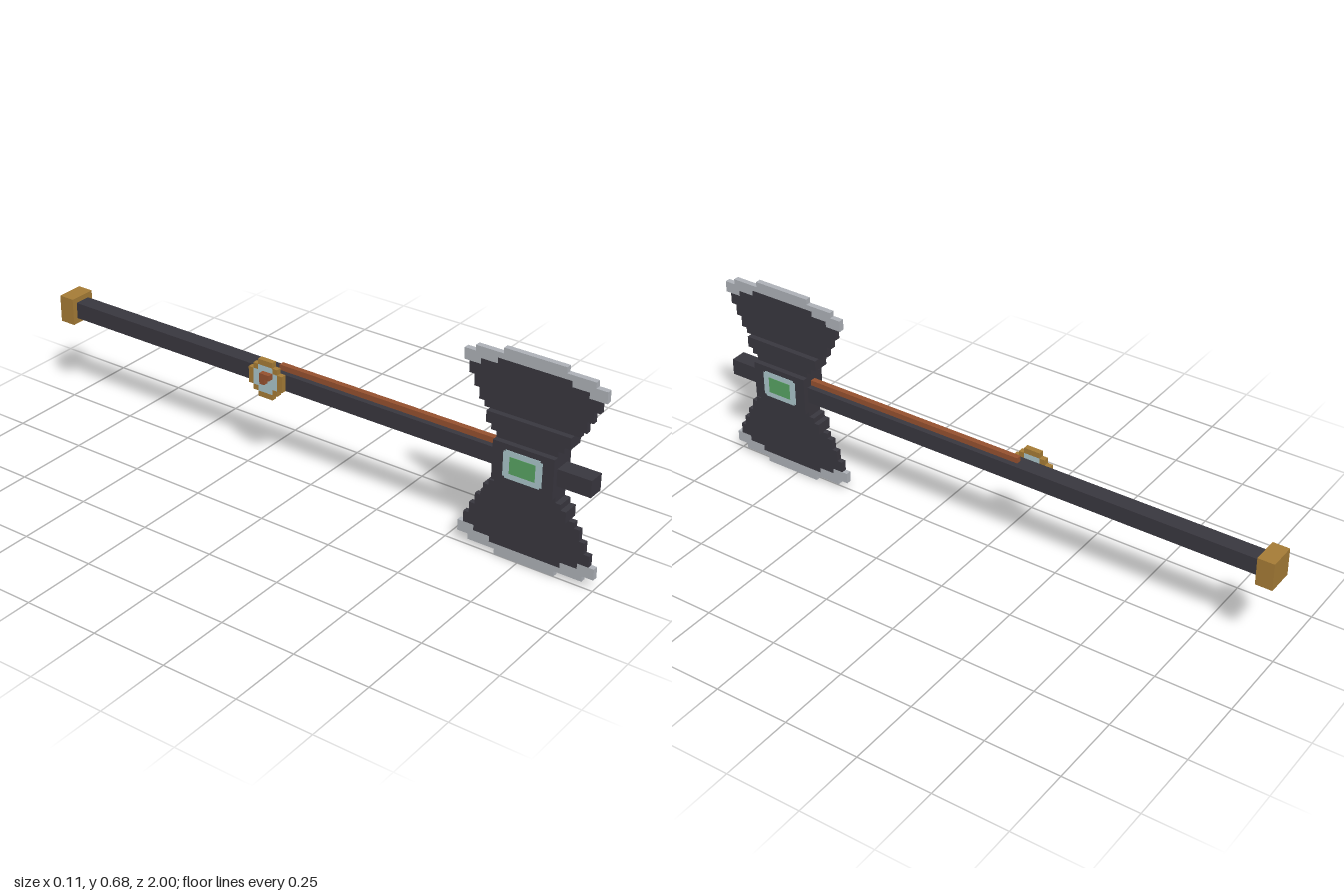
import * as THREE from 'three';

const U = 2 / 109; // one block
const mat = (name, color) => {
  const m = new THREE.MeshStandardMaterial({ color });
  m.name = name;
  return m;
};

export function createModel() {
  const model = new THREE.Group();
  model.name = 'doubleAxe';
  const iron = mat('dark iron', 0x39373f);
  const steel = mat('steel', 0xaeb2b8);
  const gold = mat('gold', 0xa67c36);
  const rust = mat('rust', 0x96512f);
  const pale = mat('pale blue', 0xabc6cb);
  const green = mat('green', 0x58a463);

  // Box from block ranges: x, y, and k (blocks counted back from the front end)
  function box(name, material, x0, x1, y0, y1, k0, k1, parent = model) {
    const g = new THREE.BoxGeometry((x1 - x0) * U, (y1 - y0) * U, (k1 - k0) * U);
    const m = new THREE.Mesh(g, material);
    m.position.set((x0 + x1) / 2 * U, (y0 + y1) / 2 * U, 1 - (k0 + k1) / 2 * U);
    m.name = name;
    parent.add(m);
  }
  // Same box above and mirrored below the shaft
  function pair(name, material, x0, x1, y0, y1, k0, k1) {
    box(name + 'Upper', material, x0, x1, y0, y1, k0, k1);
    box(name + 'Lower', material, x0, x1, 37 - y1, 37 - y0, k0, k1);
  }

  // Handle
  box('shaft', iron, -1, 2, 17, 20, 1, 107);
  box('pommel', gold, -2, 3, 16, 21, 106, 109);
  box('shaftStrip', rust, 0, 1, 20, 21, 18, 61);

  // Head block and stepped collars
  box('headBlock', iron, -2, 3, 15, 22, 7, 18);
  [[22, 23, 7], [23, 24, 6], [24, 26, 5]].forEach(([y0, y1, k]) =>
    pair('collar', iron, -1, 2, y0, y1, k, 25 - k));

  // Flaring blades: bottom, top, inset from each blade corner
  [[26, 27, 4], [27, 29, 3], [29, 31, 2], [31, 33, 1], [33, 34, 3], [34, 35, 6]]
    .forEach(([y0, y1, k]) => pair('blade', iron, 0, 1, y0, y1, k, 25 - k));

  // Cutting edges
  pair('edgeTip', steel, 0, 1, 36, 37, 7, 18);
  pair('edgeBand', steel, 0, 1, 35, 36, 2, 23);
  [[33, 34, 0, 3], [34, 35, 0, 6]].forEach(([y0, y1, a, b]) => {
    pair('edgeFront', steel, 0, 1, y0, y1, a, b);
    pair('edgeBack', steel, 0, 1, y0, y1, 25 - b, 25 - a);
  });

  // Gem inlays on both sides of the head
  for (const [side, x, d] of [['left', 3, 1], ['right', -2, -1]]) {
    const plate = (name, m, t, y0, y1, k0, k1) =>
      box(side + name, m, Math.min(x, x + d * t), Math.max(x, x + d * t), y0, y1, k0, k1);
    plate('GemFrame', pale, 0.08, 16.3, 20.7, 9, 16);
    plate('GemFrameTop', pale, 0.08, 20.7, 21, 9.4, 15.6);
    plate('GemFrameBottom', pale, 0.08, 16, 16.3, 9.4, 15.6);
    plate('Gem', green, 0.16, 17, 20, 10.2, 14.8);
  }

  // Round medallion on the right side of the shaft
  const medallion = new THREE.Group();
  medallion.name = 'medallion';
  model.add(medallion);
  const disc = (name, m, y0, y1, k0, k1) => box(name, m, -2, -1, y0, y1, k0, k1, medallion);
  disc('medallionFace', pale, 17, 20, 60, 65);
  for (const [y, inner] of [[15, 16], [21, 20]]) {
    disc('medallionRim', gold, y, y + 1, 61, 64);
    disc('medallionFace', pale, inner, inner + 1, 61, 64);
    disc('medallionRim', gold, inner, inner + 1, 60, 61);
    disc('medallionRim', gold, inner, inner + 1, 64, 65);
  }
  disc('medallionRim', gold, 17, 20, 59, 60);
  disc('medallionRim', gold, 17, 20, 65, 66);

  // Raised mark on the medallion
  box('medallionMark', rust, -3, -2, 19, 20, 61, 63, medallion);
  box('medallionMark', rust, -3, -2, 18, 19, 62, 63, medallion);

  return model;
}
